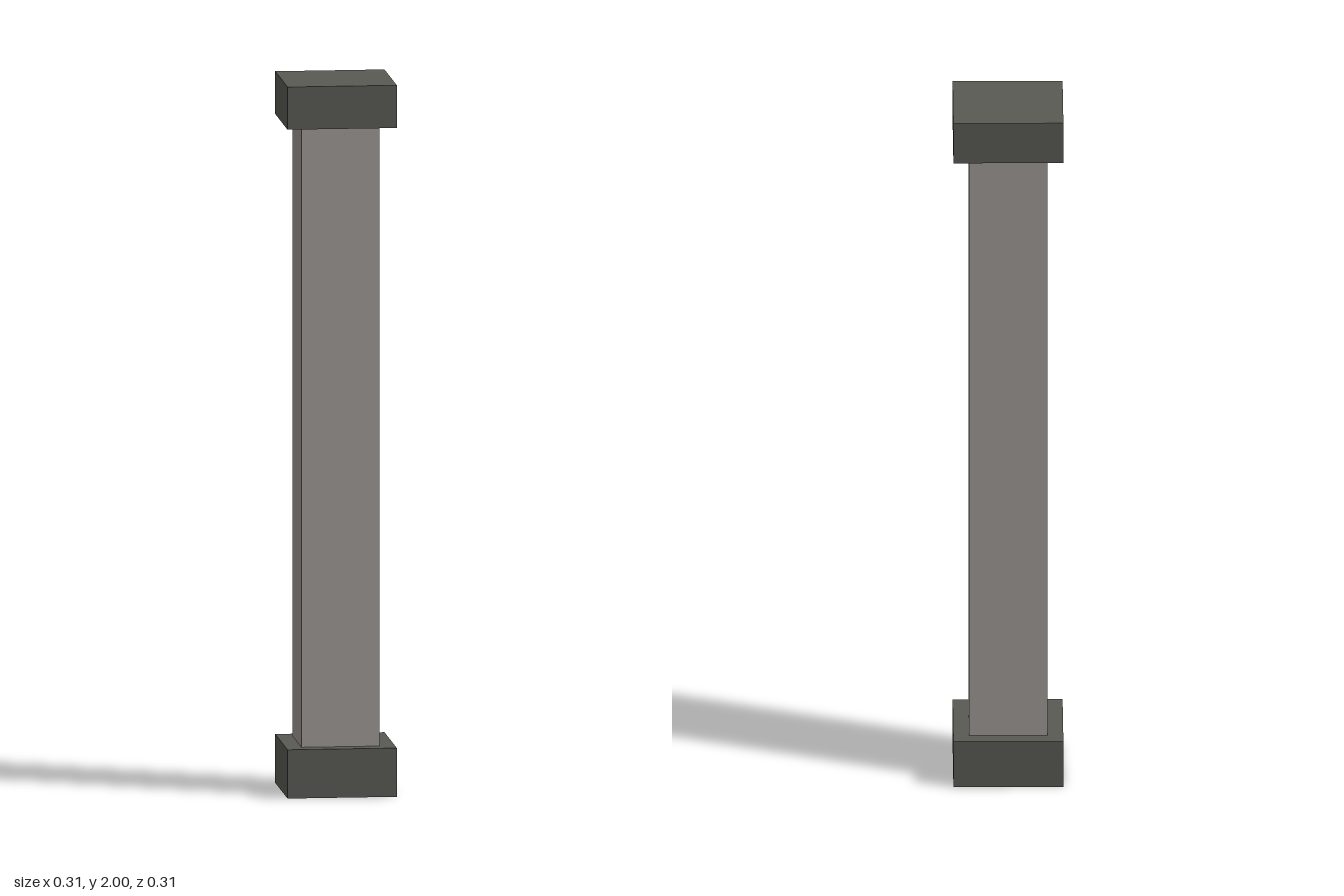
import * as THREE from 'three';

export function createModel() {
  const model = new THREE.Group();
  model.name = 'pillar';

  const darkStone = new THREE.MeshStandardMaterial({ color: 0x5a5a54 });
  darkStone.name = 'dark stone';
  const paleStone = new THREE.MeshStandardMaterial({ color: 0x9f9a96 });
  paleStone.name = 'pale stone';

  // Square block spanning bottom to top
  const addBlock = (name, width, bottom, top, material) => {
    const mesh = new THREE.Mesh(new THREE.BoxGeometry(width, top - bottom, width), material);
    mesh.position.y = (bottom + top) / 2;
    mesh.name = name;
    model.add(mesh);
  };

  addBlock('base', 0.306, 0, 0.137, darkStone);
  addBlock('shaft', 0.218, 0.137, 1.88, paleStone);
  addBlock('capital', 0.306, 1.88, 2, darkStone);

  return model;
}
